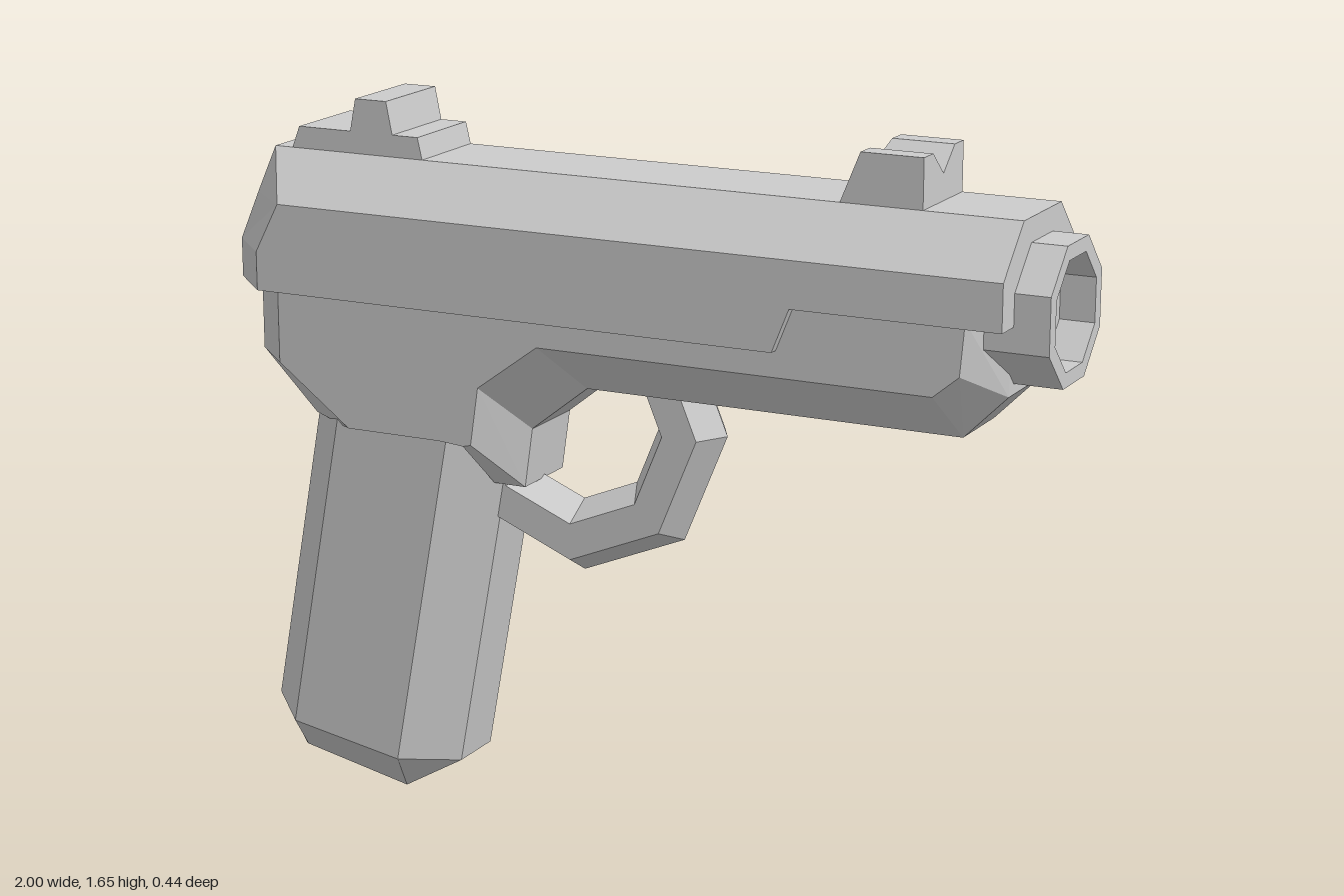
import * as THREE from 'three';

const material = new THREE.MeshStandardMaterial({ color: 0xcccccc, flatShading: true });
const { ShapeUtils, Vector2 } = THREE;

// Joins equal-length rings of [x, y, z] points; u and v are the axes the end caps are flattened on.
function loft(rings, u, v) {
  const tris = [];
  for (let i = 0; i < rings.length - 1; i++) {
    const a = rings[i], b = rings[i + 1], n = a.length;
    for (let j = 0; j < n; j++) {
      const k = (j + 1) % n;
      tris.push([a[j], a[k], b[k]], [a[j], b[k], b[j]]);
    }
  }
  const cap = (ring, reverse) => {
    const flat = ring.map((p) => new Vector2(p[u], p[v]));
    const sign = Math.sign(ShapeUtils.area(flat));
    for (const t of ShapeUtils.triangulateShape(flat, [])) {
      const same = Math.sign(ShapeUtils.area(t.map((i) => flat[i]))) === sign;
      const [p, q, r] = t.map((i) => ring[i]);
      tris.push(same !== reverse ? [p, q, r] : [p, r, q]);
    }
  };
  cap(rings[0], true);
  cap(rings[rings.length - 1], false);

  // Turn every face outward if the solid came out inside out
  let volume = 0;
  for (const [a, b, c] of tris) {
    volume += a[0] * (b[1] * c[2] - b[2] * c[1]) + a[1] * (b[2] * c[0] - b[0] * c[2]) + a[2] * (b[0] * c[1] - b[1] * c[0]);
  }
  if (volume < 0) tris.forEach((t) => t.reverse());
  const geometry = new THREE.BufferGeometry();
  geometry.setAttribute('position', new THREE.Float32BufferAttribute(tris.flat(2), 3));
  geometry.computeVertexNormals();
  return geometry;
}

// Closes a half ring by mirroring it across z = 0
const mirror = (half) => [...half, ...half.map(([x, y, z]) => [x, y, -z]).reverse()];
const atZ = (profile, z) => profile.map(([x, y]) => [x, y, z]);

export function createModel() {
  const model = new THREE.Group();
  const add = (name, geometry) => {
    const mesh = new THREE.Mesh(geometry, material);
    mesh.name = name;
    model.add(mesh);
    return mesh;
  };

  // Slide: bevelled top, tapered rear, lower edge stepped up near the muzzle
  const slideSection = (x, bottom) => mirror([[x, bottom, 0.22], [x, 1.31, 0.22], [x, 1.415, 0.22], [x, 1.525, 0.11]]);
  add('slide', loft([
    mirror([[-1, 1.21, 0.11], [-1, 1.3, 0.11], [-0.95, 1.415, 0.11], [-0.9, 1.525, 0.11]]),
    mirror([[-0.89, 1.21, 0.22], [-0.89, 1.3, 0.22], [-0.83, 1.415, 0.22], [-0.9, 1.525, 0.11]]),
    slideSection(0.4, 1.21),
    slideSection(0.44, 1.309),
    slideSection(0.92, 1.309),
  ], 2, 1));

  // Frame: middle silhouette chamfered to a smaller outline on each side
  const middle = [
    [-0.96, 1.32], [-0.96, 1.04], [-0.82, 0.9], [-0.42, 0.89], [-0.35, 0.79], [-0.27, 0.79],
    [-0.25, 0.93], [-0.11, 1.04], [0.79, 1.04], [0.89, 1.14], [0.89, 1.32],
  ];
  const side = [
    [-0.85, 1.32], [-0.85, 1.04], [-0.67, 0.905], [-0.43, 0.905], [-0.37, 0.9], [-0.35, 0.905],
    [-0.33, 1.04], [-0.18, 1.15], [0.76, 1.15], [0.82, 1.2], [0.83, 1.32],
  ];
  add('frame', loft([atZ(side, -0.197), atZ(middle, -0.09), atZ(middle, 0.09), atZ(side, 0.197)], 0, 1));

  // Grip: slanted eight-sided column with a chamfered base
  const grip = [[-0.96, 0.18, 0.065], [-0.85, 0.16, 0.177], [-0.57, 0.11, 0.177], [-0.46, 0.09, 0.07]];
  const heel = [-0.89, 0.06, 0.065], toe = [-0.61, 0.002, 0.07];
  add('grip', loft([
    mirror(grip.map(([x, y, z]) => [x + 0.15, y + 0.82, z])),
    mirror(grip),
    mirror([heel, [-0.885, 0.059, 0.068], [-0.615, 0.003, 0.07], toe]),
  ], 0, 2));

  // Trigger guard: octagonal ring with a hexagonal section, its upper part buried in the frame
  add('triggerGuard', new THREE.TorusGeometry(0.275, 0.085, 6, 8)).position.set(-0.165, 0.945, 0);

  // Barrel: octagonal tube with a recessed bore
  const barrel = new THREE.LatheGeometry(
    [[0.166, 0.8], [0.166, 1], [0.13, 1], [0.13, 0.92], [0, 0.92]].map(([r, y]) => new Vector2(r, y)), 8, Math.PI / 8);
  add('barrel', barrel.rotateZ(-Math.PI / 2)).position.y = 1.317;

  // Rear sight: stepped block
  const rear = [
    [-0.86, 1.51], [-0.835, 1.575], [-0.7, 1.575], [-0.685, 1.65],
    [-0.605, 1.65], [-0.59, 1.575], [-0.525, 1.575], [-0.51, 1.51],
  ];
  add('rearSight', loft([atZ(rear, -0.11), atZ(rear, 0.11)], 0, 1));

  // Front sight: notched block with a sloping back
  const notch = [[-0.11, 1.51], [-0.11, 1.637], [-0.06, 1.637], [0, 1.585], [0.06, 1.637], [0.11, 1.637], [0.11, 1.51]];
  add('frontSight', loft([
    notch.map(([z, y]) => [0.505 + (y - 1.525) * 0.41, y, z]),
    notch.map(([z, y]) => [0.695, y, z]),
  ], 2, 1));

  return model;
}
